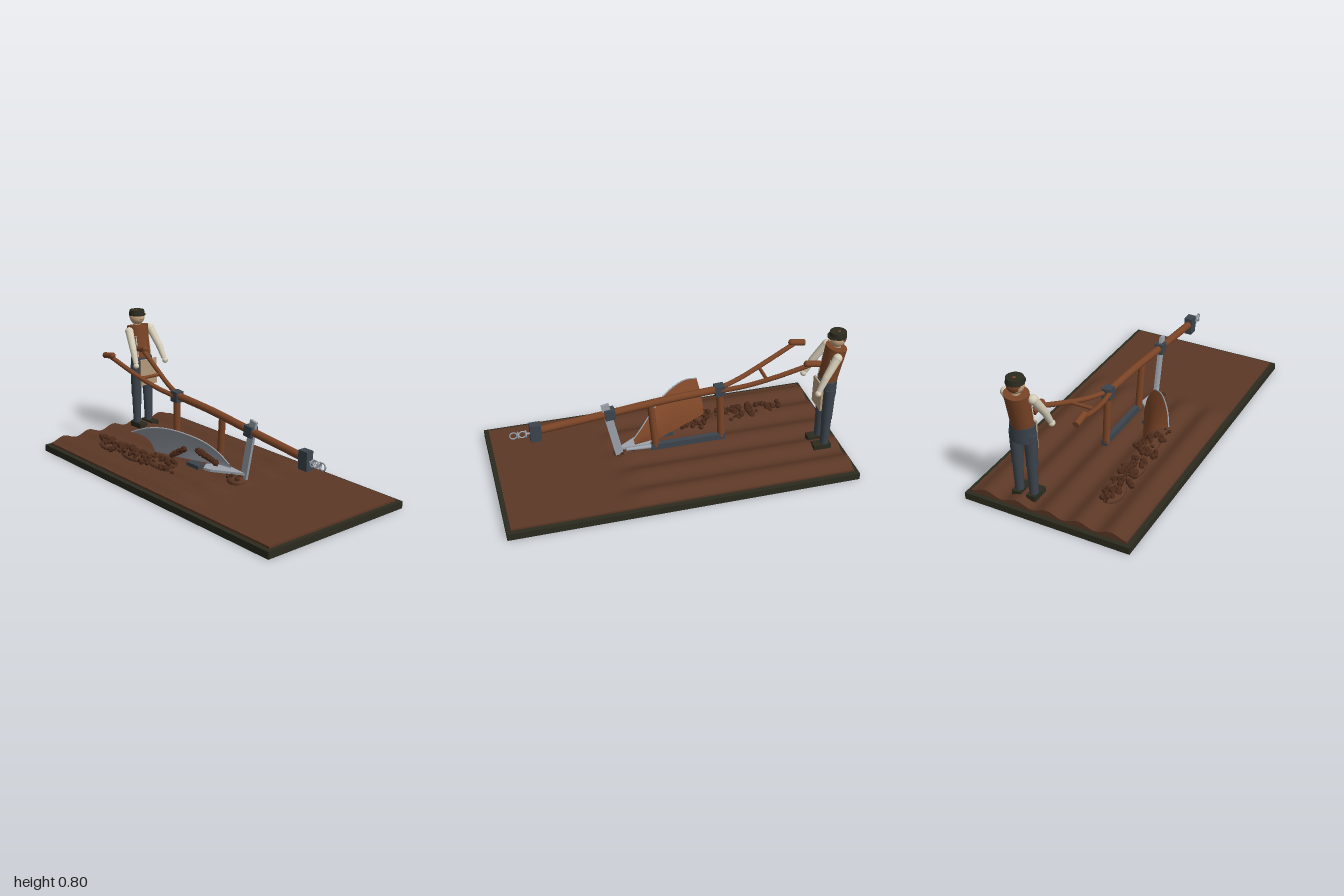
import * as THREE from 'three';

const mat = (name, color, opts = {}) => Object.assign(new THREE.MeshStandardMaterial({ color, ...opts }), { name });
const V = (x, y, z) => new THREE.Vector3(x, y, z);

export function createModel() {
  const root = new THREE.Group();
  const M = {
    base: mat('dark base', 0x2b2b1f),
    soil: mat('soil', 0x5c3826),
    clod: mat('turned earth', 0x4a2a1a, { flatShading: true }),
    wood: mat('brown wood', 0x7a4426),
    iron: mat('dark iron', 0x3c444d),
    steel: mat('bright steel', 0x9da3ad),
    cloth: mat('shirt cloth', 0xd6cdb8),
    apron: mat('apron cloth', 0xb39a7c),
    skin: mat('skin', 0xc4a27e),
  };
  const add = (name, geo, m, x = 0, y = 0, z = 0, parent = root) => {
    const mesh = new THREE.Mesh(geo, m);
    mesh.name = name;
    mesh.position.set(x, y, z);
    parent.add(mesh);
    return mesh;
  };
  const box = (name, w, h, d, m, x, y, z, p) => add(name, new THREE.BoxGeometry(w, h, d), m, x, y, z, p);
  const ball = (name, r, m, p, parent) => add(name, new THREE.SphereGeometry(r, 20, 14), m, p.x, p.y, p.z, parent);
  const tube = (name, pts, r, m) =>
    add(name, new THREE.TubeGeometry(new THREE.CatmullRomCurve3(pts), 32, r, 14), m);
  // Tapered round bar from a to b
  const rod = (name, a, b, ra, rb, m, parent) => {
    const c = a.clone().add(b).multiplyScalar(0.5), d = b.clone().sub(a);
    const mesh = add(name, new THREE.CylinderGeometry(rb, ra, d.length(), 18), m, c.x, c.y, c.z, parent);
    mesh.quaternion.setFromUnitVectors(V(0, 1, 0), d.normalize());
    return mesh;
  };

  // Base and ridged field
  box('base', 2, 0.04, 0.975, M.base, 0, 0.02, 0);
  const field = new THREE.BoxGeometry(1.95, 0.03, 0.92, 60, 1, 80);
  const fp = field.attributes.position;
  for (let i = 0; i < fp.count; i++) {
    if (fp.getY(i) < 0) continue;
    const fade = 1 - THREE.MathUtils.smoothstep(fp.getX(i), 0.18, 0.4);
    const ridge = Math.cos((Math.PI * fp.getZ(i)) / 0.185) ** 2;
    fp.setY(i, 0.015 + 0.026 * ridge * fade);
  }
  field.computeVertexNormals();
  add('field', field, M.soil, 0, 0.037, 0);

  // Beam with clamps and hitch block
  tube('beam', [V(-0.34, 0.422, 0), V(0, 0.402, 0), V(0.33, 0.368, 0), V(0.75, 0.327, 0)], 0.022, M.wood);
  box('rearClamp', 0.056, 0.064, 0.052, M.iron, -0.31, 0.415, 0).rotation.z = -0.06;
  box('frontClamp', 0.06, 0.062, 0.05, M.iron, 0.33, 0.367, 0).rotation.z = -0.1;
  box('hitchBlock', 0.062, 0.105, 0.046, M.iron, 0.75, 0.32, 0);

  // Chain links
  rod('hitchPin', V(0.78, 0.317, 0), V(0.805, 0.317, 0), 0.006, 0.006, M.steel);
  [0.822, 0.872].forEach((x) => add('chainRing', new THREE.TorusGeometry(0.02, 0.004, 8, 24), M.steel, x, 0.316, 0));
  [0.803, 0.846].forEach((x) => {
    add('chainCrossRing', new THREE.TorusGeometry(0.018, 0.004, 8, 24), M.steel, x, 0.316, 0).rotation.y = Math.PI / 2;
  });

  // Handles, grips and brace
  [-1, 1].forEach((s) => {
    tube('handle', [V(-0.31, 0.415, s * 0.012), V(-0.45, 0.445, s * 0.045), V(-0.62, 0.503, s * 0.085),
      V(-0.8, 0.575, s * 0.122)], 0.014, M.wood);
    rod('grip', V(-0.86, 0.572, s * 0.122), V(-0.78, 0.585, s * 0.122), 0.018, 0.018, M.wood);
    ball('gripEnd', 0.019, M.wood, V(-0.78, 0.585, s * 0.122));
  });
  rod('handleBrace', V(-0.57, 0.478, -0.075), V(-0.57, 0.478, 0.075), 0.01, 0.01, M.wood);

  // Uprights, sole bar, knife and share
  rod('rearUpright', V(-0.326, 0.1, -0.008), V(-0.312, 0.4, 0), 0.021, 0.021, M.wood);
  rod('middleUpright', V(0.068, 0.1, -0.008), V(0.096, 0.395, 0), 0.021, 0.019, M.wood);
  box('soleBar', 0.44, 0.036, 0.03, M.iron, -0.125, 0.102, -0.012);
  box('shareBrace', 0.1, 0.022, 0.055, M.iron, -0.01, 0.1, 0.105);
  rod('noseBar', V(0.08, 0.102, -0.01), V(0.24, 0.1, 0), 0.013, 0.009, M.steel);
  box('knife', 0.046, 0.36, 0.016, M.steel, 0.318, 0.255, 0).rotation.z = -0.215;
  const share = new THREE.Shape([[0.04, 0.07], [0.08, 0.125], [0.13, 0.115], [0.3, 0.005], [0.1, 0]]
    .map(([x, z]) => new THREE.Vector2(x, -z)));
  add('share', new THREE.ExtrudeGeometry(share, { depth: 0.014, bevelEnabled: false }), M.steel, 0, 0.1, 0)
    .rotation.x = -Math.PI / 2;

  // Mouldboard: a curved sheet spanned between lower and upper edges
  const low = new THREE.CatmullRomCurve3([V(-0.28, 0.125, 0.19), V(-0.1, 0.113, 0.11), V(0.05, 0.108, 0.04), V(0.185, 0.105, 0.015)]);
  const high = new THREE.CatmullRomCurve3([V(-0.28, 0.28, 0.35), V(-0.2, 0.312, 0.305), V(-0.12, 0.32, 0.25),
    V(-0.03, 0.302, 0.185), V(0.07, 0.25, 0.1), V(0.135, 0.195, 0.055), V(0.19, 0.14, 0.03)]);
  const sheet = (flip) => {
    const g = new THREE.PlaneGeometry(1, 1, 36, 14), p = g.attributes.position;
    for (let i = 0; i < p.count; i++) {
      const u = p.getX(i) + 0.5, v = p.getY(i) + 0.5;
      const q = low.getPoint(u).lerp(high.getPoint(u), v);
      const sag = Math.sin(Math.PI * v) * (1 - 0.7 * u);
      p.setXYZ(i, q.x, q.y + 0.012 * sag, q.z - 0.028 * sag);
    }
    if (flip) g.index.array.reverse();
    g.computeVertexNormals();
    return g;
  };
  add('mouldboardFace', sheet(false), M.steel);
  add('mouldboardBack', sheet(true), M.wood);
  add('mouldboardRim', new THREE.TubeGeometry(high, 40, 0.004, 6), M.steel);

  // Loose earth
  let seed = 7;
  const rnd = () => (seed = (seed * 16807) % 2147483647) / 2147483647;
  const clod = (name, x, y, z, sx, sy, sz) => {
    const m = add(name, new THREE.IcosahedronGeometry(1, 0), M.clod, x, y, z);
    m.scale.set(sx, sy, sz);
    m.rotation.set(rnd() * 3, rnd() * 3, rnd() * 3);
  };
  const pile = (n, x0, x1, z0, z1, y0, y1) => {
    for (let i = 0; i < n; i++) {
      const r = 0.009 + rnd() * 0.012, t = rnd(), w = rnd() + rnd() - 1;
      clod('clod', x0 + (x1 - x0) * t, y0 + (y1 - y0) * rnd() * (1 - Math.abs(w)),
        (z0 + z1) / 2 + (w * (z1 - z0)) / 2, r, r * 0.9, r);
    }
  };
  [[-0.67, 0.22, 0.1, 0.065], [-0.43, 0.22, 0.12, 0.06], [-0.2, 0.2, 0.15, 0.05], [0.25, 0.03, 0.06, 0.05]].forEach(([x, z, rx, rz]) =>
    add('earthMound', new THREE.SphereGeometry(1, 16, 8), M.soil, x, 0.062, z).scale.set(rx, 0.03, rz));
  pile(30, -0.77, -0.56, 0.16, 0.29, 0.075, 0.11);
  pile(45, -0.53, -0.26, 0.16, 0.29, 0.075, 0.112);
  pile(40, -0.3, -0.04, 0.13, 0.27, 0.075, 0.12);
  pile(16, 0.19, 0.31, -0.02, 0.07, 0.08, 0.105);
  for (let i = 0; i < 8; i++) {
    const t = i / 7;
    clod('clingingEarth', -0.15 + 0.09 * t, 0.135 + 0.055 * t, 0.165 - 0.015 * t, 0.022, 0.02, 0.016);
    clod('clingingEarth', 0.01 + 0.1 * t, 0.19 - 0.055 * t, 0.105 - 0.045 * t, 0.02, 0.024, 0.018);
  }

  // Ploughman
  const man = new THREE.Group();
  man.name = 'ploughman';
  man.position.z = -0.172;
  root.add(man);
  [-1, 1].forEach((s) => {
    const z = s * 0.044;
    box('boot', 0.105, 0.032, 0.054, M.base, -0.868, 0.074, z, man);
    rod('lowerLeg', V(-0.885, 0.085, z), V(-0.887, 0.27, z), 0.024, 0.029, M.iron, man);
    rod('upperLeg', V(-0.887, 0.26, z), V(-0.887, 0.46, z), 0.031, 0.036, M.iron, man);
    const shoulder = V(-0.9, 0.68, s * 0.08), elbow = V(-0.835, 0.578, s * 0.1), wrist = V(-0.797, 0.5, s * 0.109);
    ball('shoulder', 0.026, M.cloth, shoulder, man);
    rod('upperArm', shoulder, elbow, 0.025, 0.021, M.cloth, man);
    ball('elbow', 0.021, M.cloth, elbow, man);
    rod('forearm', elbow, wrist, 0.021, 0.016, M.cloth, man);
    ball('hand', 0.018, M.cloth, V(-0.79, 0.486, s * 0.112), man);
    const strip = box('shirtStrip', 0.008, 0.13, 0.005, M.cloth, -0.866, 0.585, s * 0.049, man);
    strip.rotation.z = 0.17;
  });
  const hips = add('hips', new THREE.CylinderGeometry(1, 1, 0.095, 24), M.iron, -0.888, 0.462, 0, man);
  hips.scale.set(0.052, 1, 0.072);
  box('apron', 0.012, 0.165, 0.122, M.apron, -0.833, 0.42, -0.012, man);
  const vest = add('vest', new THREE.CylinderGeometry(1.08, 0.95, 0.205, 24), M.wood, -0.907, 0.607, 0, man);
  vest.scale.set(0.054, 1, 0.064);
  vest.rotation.z = 0.17;
  rod('neck', V(-0.925, 0.69, 0), V(-0.927, 0.74, 0), 0.024, 0.022, M.skin, man);
  ball('head', 0.046, M.skin, V(-0.925, 0.756, 0), man);
  ball('nose', 0.008, M.skin, V(-0.879, 0.752, 0), man);
  ball('hair', 0.043, M.wood, V(-0.932, 0.76, 0), man);
  add('cap', new THREE.CylinderGeometry(0.046, 0.05, 0.032, 24), M.base, -0.927, 0.786, 0, man);
  add('capPeak', new THREE.CylinderGeometry(0.045, 0.045, 0.008, 24), M.base, -0.912, 0.775, 0, man);
  return root;
}
